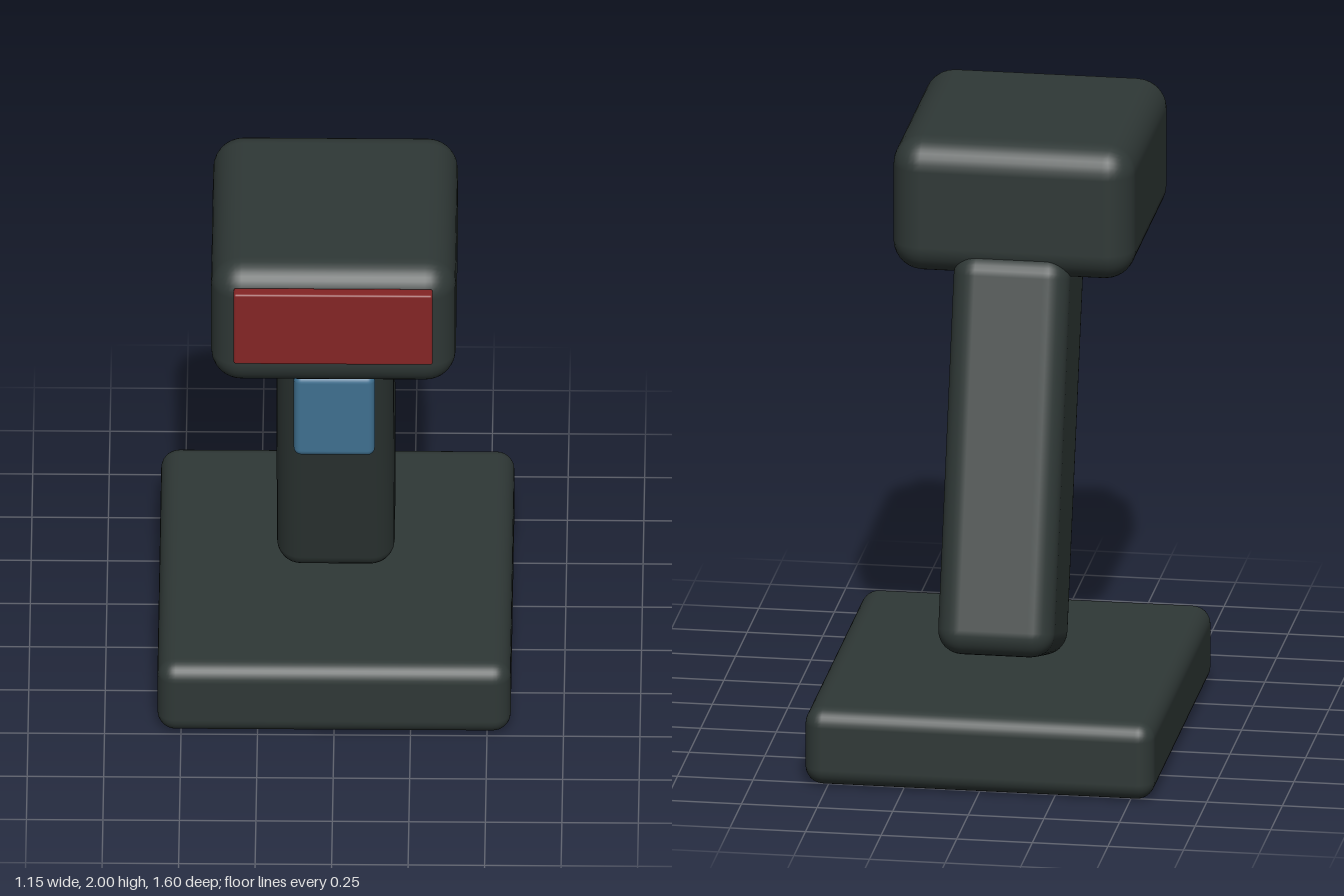
import * as THREE from 'three';
import { RoundedBoxGeometry } from 'three/addons/geometries/RoundedBoxGeometry.js';

const paint = (name, color) => {
  const material = new THREE.MeshStandardMaterial({ color });
  material.name = name;
  return material;
};

export function createModel() {
  const charcoal = paint('charcoal', 0x2f3836);
  const red = paint('dark red', 0x842424);
  const blue = paint('steel blue', 0x3f7090);

  const model = new THREE.Group();
  model.name = 'handheldScanner';

  // Rounded block from its size, corner radius and centre
  const block = (name, [w, h, d], radius, centre, material) => {
    const mesh = new THREE.Mesh(new RoundedBoxGeometry(w, h, d, 4, radius), material);
    mesh.name = name;
    mesh.position.set(...centre);
    model.add(mesh);
    return mesh;
  };

  // Foot plate
  block('base', [1.155, 0.265, 1.31], 0.06, [0, 0.1325, -0.145], charcoal);

  // Handle, leaning forward towards the head
  const handle = block('handle', [0.385, 1.32, 0.44], 0.08, [0, 0.947, -0.09], charcoal);
  handle.rotation.x = 0.29;

  // Scanning head and its front window
  block('head', [0.8, 0.46, 0.86], 0.1, [0, 1.77, 0.33], charcoal);
  block('window', [0.65, 0.275, 0.045], 0.008, [0, 1.807, 0.7775], red);

  // Trigger in front of the handle
  block('trigger', [0.265, 0.315, 0.13], 0.025, [0, 1.208, 0.365], blue);

  return model;
}
